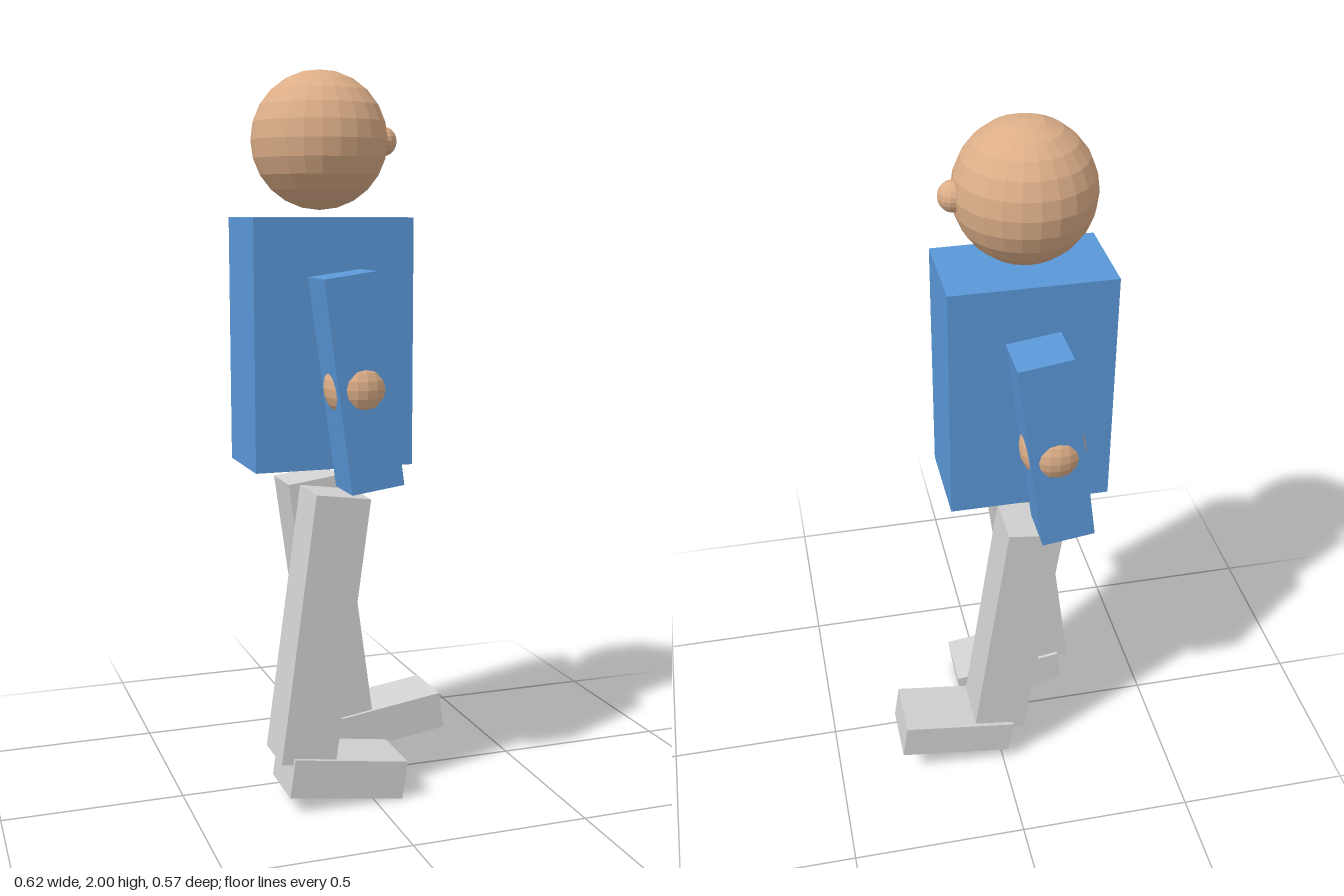
import * as THREE from 'three';

export function createModel() {
  const model = new THREE.Group();
  const material = (name, color, flatShading = false) => {
    const m = new THREE.MeshStandardMaterial({ color, flatShading });
    m.name = name;
    return m;
  };
  const skin = material('skin', 0xdcae88, true);
  const shirt = material('shirt blue', 0x5a98d8);
  const trousers = material('trouser grey', 0xd3d3d3);

  const add = (name, geometry, mat, x, y, z, tilt = 0) => {
    const mesh = new THREE.Mesh(geometry, mat);
    mesh.name = name;
    mesh.position.set(x, y, z);
    mesh.rotation.z = tilt;
    model.add(mesh);
  };

  // Head, nose and torso; the figure walks towards +x
  const cx = -0.09;
  add('head', new THREE.SphereGeometry(0.186, 24, 12), skin, cx, 1.815, 0);
  add('nose', new THREE.SphereGeometry(0.041, 16, 10), skin, 0.09, 1.815, 0);
  add('torso', new THREE.BoxGeometry(0.446, 0.675, 0.262), shirt, cx + 0.001, 1.272, 0);

  // Limbs swing in opposite directions on the two sides
  const arm = new THREE.BoxGeometry(0.147, 0.572, 0.138);
  const hand = new THREE.SphereGeometry(0.09, 20, 12);
  const leg = new THREE.BoxGeometry(0.155, 0.748, 0.154);
  const foot = new THREE.BoxGeometry(0.33, 0.108, 0.175);
  for (const s of [1, -1]) {
    const side = s > 0 ? 'front' : 'back';
    add(side + 'Arm', arm, shirt, cx + s * 0.037, 1.18, s * 0.2, s * 0.135);
    add(side + 'Hand', hand, skin, cx + s * 0.04, 1.165, s * 0.197);
    add(side + 'Leg', leg, trousers, cx - s * 0.051, 0.5, s * 0.131, -s * 0.137);
    const [fx, fy] = s > 0 ? [-0.078, 0.077] : [0.141, 0.117];
    add(side + 'Foot', foot, trousers, fx, fy, s * 0.132, -s * 0.143);
  }
  return model;
}
